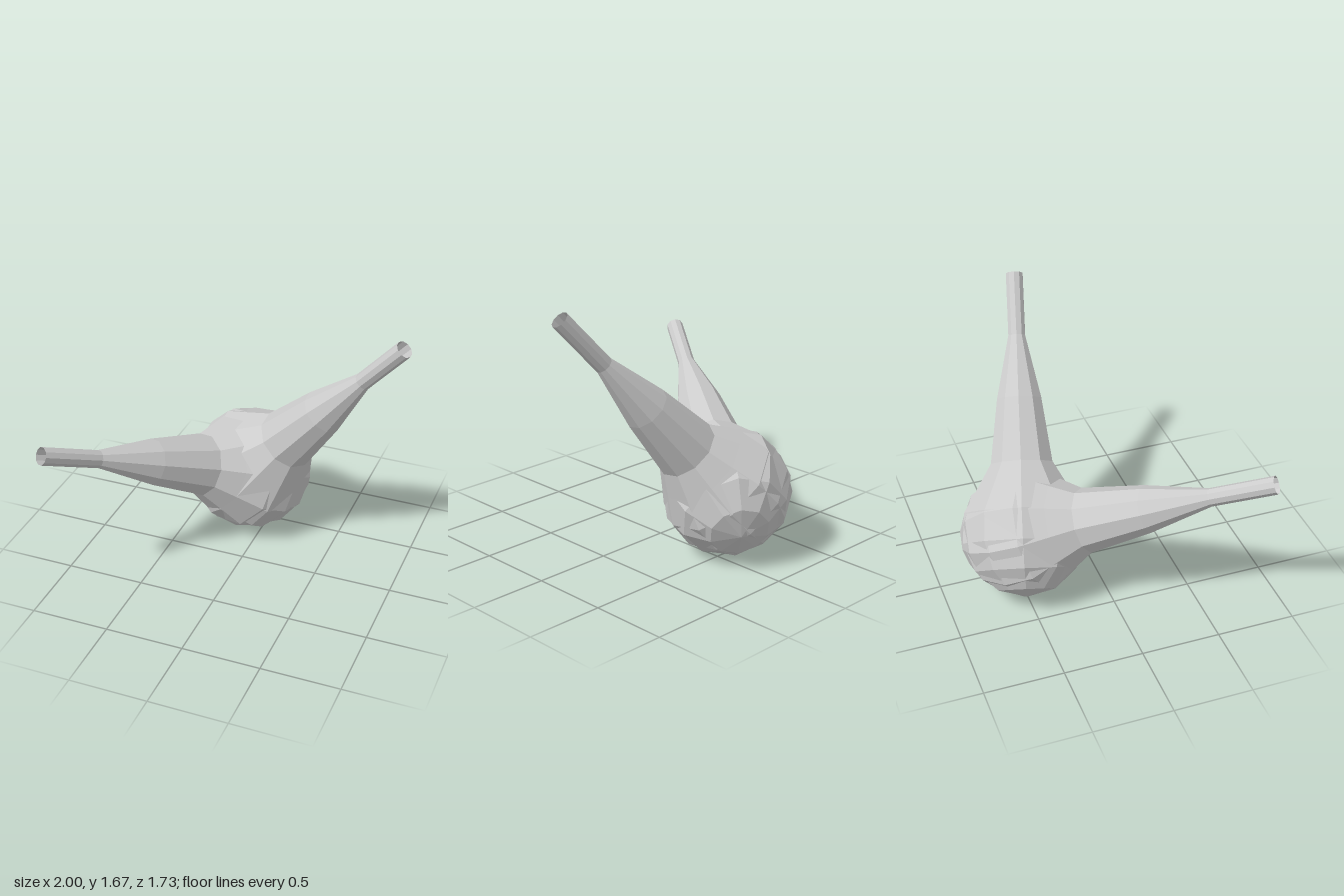
import * as THREE from 'three';

const CENTRE = new THREE.Vector3(-0.117, 0.405, -0.46);
const BULB_RADIUS = 0.407;

// Round bulb drawn out into a long tapering neck with an open, straight spout
function flaskProfile(length) {
  const points = [];
  for (let i = 0; i <= 5; i++) {
    const a = THREE.MathUtils.degToRad(-90 + i * 27);
    points.push(new THREE.Vector2(Math.max(0, Math.cos(a)) * BULB_RADIUS, Math.sin(a) * BULB_RADIUS));
  }
  points.push(
    new THREE.Vector2(0.203, 0.43),
    new THREE.Vector2(0.147, 0.84),
    new THREE.Vector2(0.056, 1.25),
    new THREE.Vector2(0.056, length)
  );
  return points;
}

function flask(name, tip, material) {
  const axis = tip.clone().sub(CENTRE);
  const mesh = new THREE.Mesh(new THREE.LatheGeometry(flaskProfile(axis.length()), 10), material);
  mesh.name = name;
  mesh.position.copy(CENTRE);
  mesh.quaternion.setFromUnitVectors(new THREE.Vector3(0, 1, 0), axis.normalize());
  return mesh;
}

export function createModel() {
  const group = new THREE.Group();
  group.name = 'doubleNeckFlask';
  const material = new THREE.MeshStandardMaterial({
    color: 0xcccccc, flatShading: true, side: THREE.DoubleSide
  });
  // Two flasks share one bulb and point in different directions
  group.add(
    flask('leftFlask', new THREE.Vector3(0.95, 1.635, -0.165), material),
    flask('rightFlask', new THREE.Vector3(-0.957, 1.045, 0.825), material)
  );
  return group;
}
